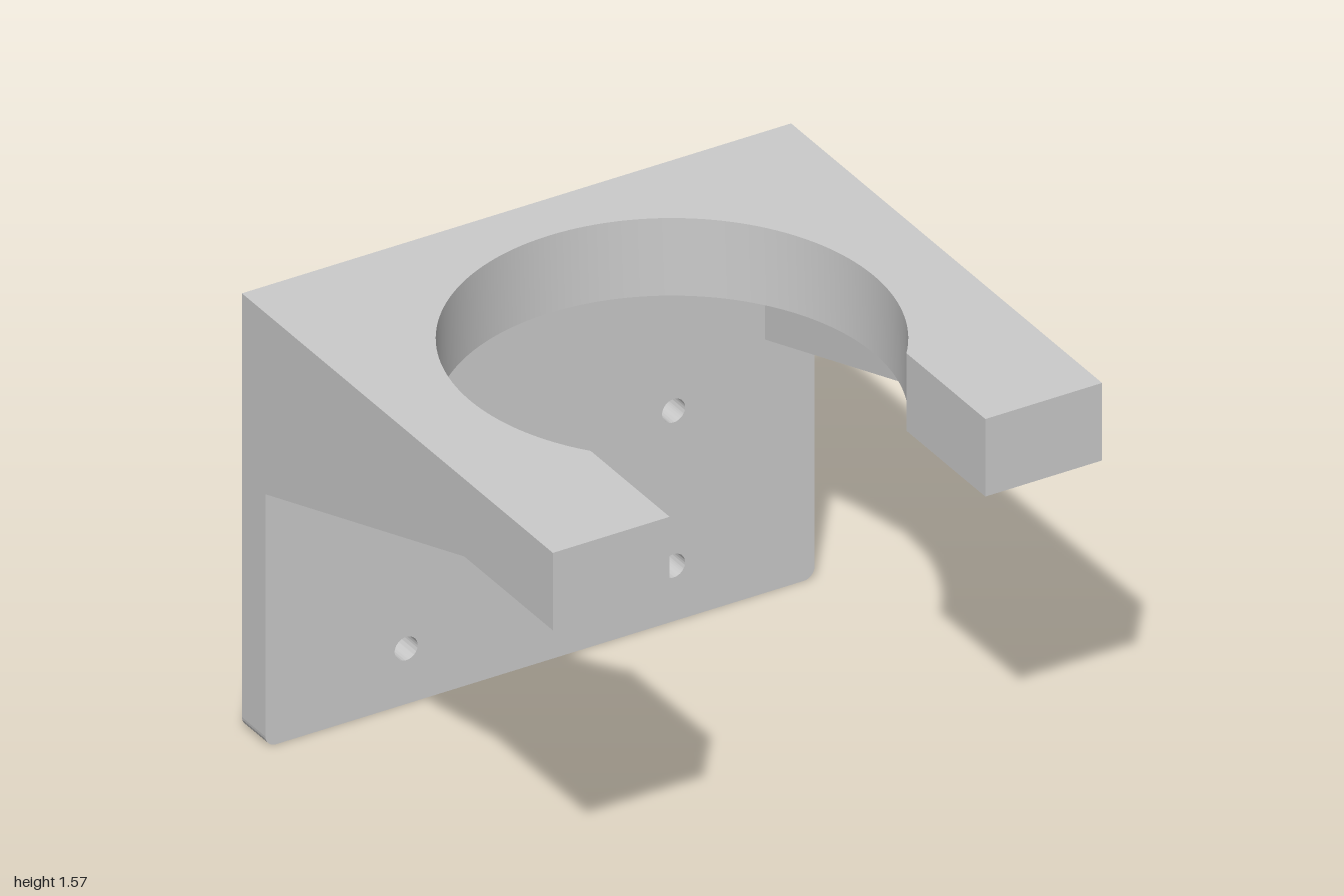
import * as THREE from 'three';
import { toCreasedNormals } from 'three/addons/utils/BufferGeometryUtils.js';

const HALF = 1, DEPTH = 0.93, TOP = 1.57, SHELF = 1.29, PLATE = 0.14;

export function createModel() {
  const group = new THREE.Group();
  const material = new THREE.MeshStandardMaterial({ color: 0xcccccc });

  const extrude = (shape, depth) => toCreasedNormals(
    new THREE.ExtrudeGeometry(shape, { depth, bevelEnabled: false, curveSegments: 64 }), 0.5);
  const add = (name, geometry) => {
    const mesh = new THREE.Mesh(geometry, material);
    mesh.name = name;
    group.add(mesh);
  };

  // Upright back plate with rounded lower corners and four screw holes
  const r = 0.04;
  const plate = new THREE.Shape();
  plate.moveTo(-HALF, SHELF);
  plate.lineTo(-HALF, r);
  plate.absarc(-HALF + r, r, r, Math.PI, Math.PI * 1.5, false);
  plate.lineTo(HALF - r, 0);
  plate.absarc(HALF - r, r, r, -Math.PI / 2, 0, false);
  plate.lineTo(HALF, SHELF);
  plate.closePath();
  for (const x of [-0.487, 0.487]) {
    for (const y of [0.2, 0.76]) {
      plate.holes.push(new THREE.Path().absarc(x, y, 0.042, 0, Math.PI * 2, true));
    }
  }
  add('backPlate', extrude(plate, PLATE).translate(0, 0, -DEPTH));

  // Horizontal holder: round opening with a narrower slot at the front
  const radius = 0.735, slot = 0.575;
  const a = Math.acos(slot / radius);
  const holder = new THREE.Shape();
  holder.moveTo(-HALF, -DEPTH);
  holder.lineTo(HALF, -DEPTH);
  holder.lineTo(HALF, DEPTH);
  holder.lineTo(slot, DEPTH);
  holder.lineTo(slot, radius * Math.sin(a));
  holder.absarc(0, 0, radius, a, Math.PI - a, true);
  holder.lineTo(-slot, DEPTH);
  holder.lineTo(-HALF, DEPTH);
  holder.closePath();
  add('holderFork', extrude(holder, TOP - SHELF).rotateX(Math.PI / 2).translate(0, TOP, 0));

  // Triangular side gussets joining plate and holder
  const inner = 0.82, back = DEPTH - PLATE;
  const gusset = new THREE.Shape([
    new THREE.Vector2(back, 0.915),
    new THREE.Vector2(back, SHELF),
    new THREE.Vector2(-0.4, SHELF),
  ]);
  for (const [name, x] of [['leftGusset', inner], ['rightGusset', -HALF]]) {
    add(name, extrude(gusset, HALF - inner).rotateY(Math.PI / 2).translate(x, 0, 0));
  }

  return group;
}
